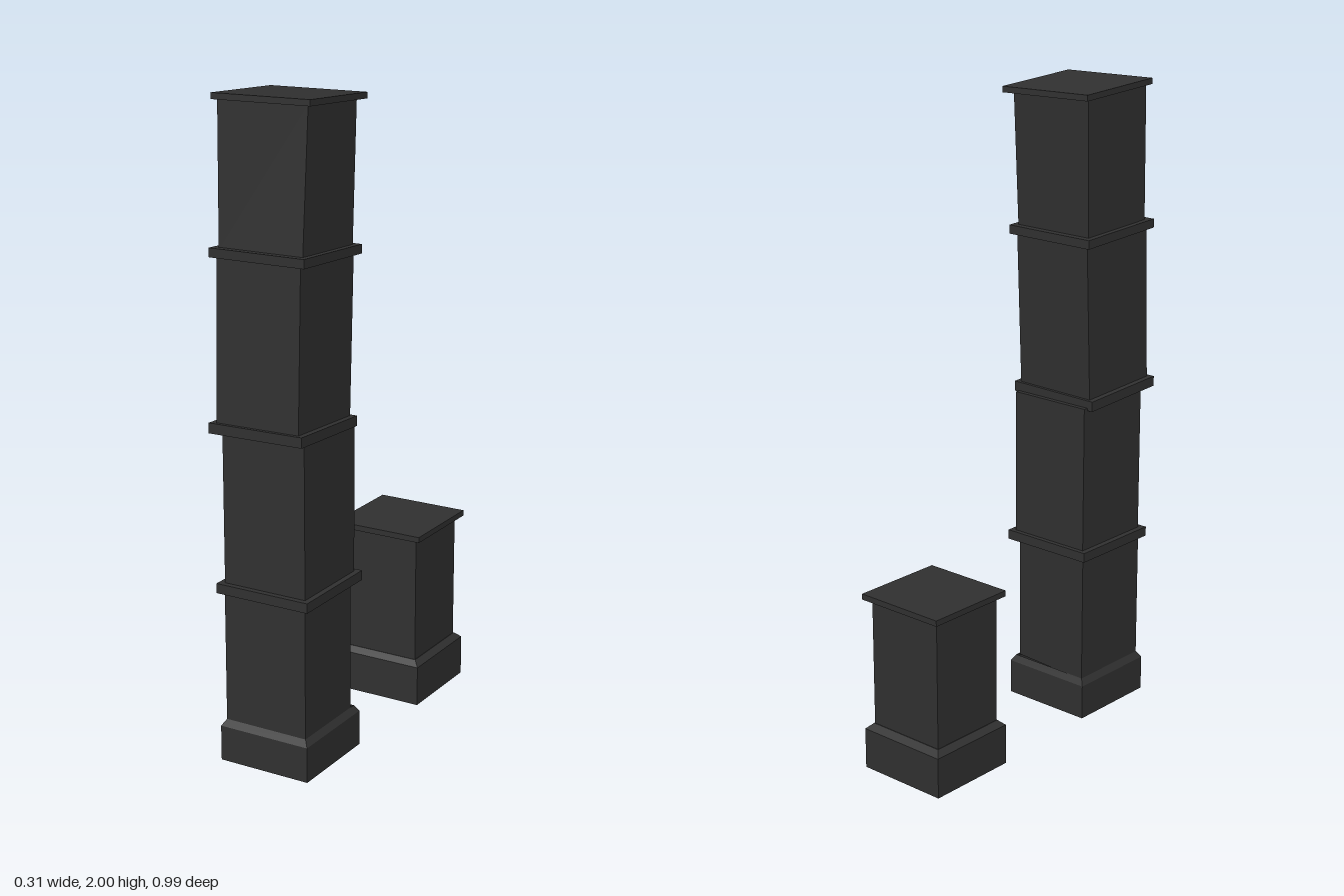
import * as THREE from 'three';

// Four-cornered cross-section: half width, back and front z, optional tilt / roll / skew
function section(y, hx, zb, zf, { tilt = 0, roll = 0, skewB = 0, skewF = 0 } = {}) {
  const mid = (zb + zf) / 2;
  return [[-1, 1], [1, 1], [1, -1], [-1, -1]].map(([sx, sz]) => {
    const x = sx * hx;
    const z = sz > 0 ? zf + skewF * x : zb + skewB * x;
    return new THREE.Vector3(x, y + tilt * (z - mid) + roll * x, z);
  });
}

// Flat-faced solid lofted through a list of cross-sections
function loft(sections, capBottom = true, capTop = true) {
  const pos = [];
  const quad = (a, b, c, d) => [a, b, c, a, c, d].forEach((v) => pos.push(v.x, v.y, v.z));
  for (let i = 0; i < sections.length - 1; i++) {
    const lo = sections[i], hi = sections[i + 1];
    for (let k = 0; k < 4; k++) {
      const n = (k + 1) % 4;
      quad(lo[k], lo[n], hi[n], hi[k]);
    }
  }
  if (capBottom) quad(...[...sections[0]].reverse());
  if (capTop) quad(...sections[sections.length - 1]);
  const geo = new THREE.BufferGeometry();
  geo.setAttribute('position', new THREE.Float32BufferAttribute(pos, 3));
  geo.computeVertexNormals();
  return geo;
}

export function createModel() {
  const model = new THREE.Group();
  model.name = 'chimneyStacks';
  const brick = new THREE.MeshStandardMaterial({ color: 0x303030, side: THREE.DoubleSide });
  brick.name = 'charcoal';

  const add = (group, name, sections, capBottom, capTop) => {
    const mesh = new THREE.Mesh(loft(sections, capBottom, capTop), brick);
    mesh.name = name;
    group.add(mesh);
  };

  // Tall leaning stack
  const tall = new THREE.Group();
  tall.name = 'tallStack';
  model.add(tall);

  // Hollow plinth with a sloped shoulder, open underneath
  add(tall, 'tallBase', [
    section(0.015, 0.15, 0.165, 0.465),
    section(0.125, 0.15, 0.165, 0.465),
    section(0.145, 0.137, 0.177, 0.452),
  ], false, false);

  // Two upright tiers, the first with a skewed back wall
  add(tall, 'lowerShaft', [
    section(0.14, 0.137, 0.186, 0.452, { skewB: 0.07 }),
    section(0.55, 0.137, 0.186, 0.452, { skewB: 0.07 }),
  ], false, false);
  add(tall, 'secondShaft', [
    section(0.57, 0.137, 0.175, 0.45),
    section(1.035, 0.137, 0.175, 0.45),
  ]);

  // Two tiers that lean back, the top one twisting as it rises
  const lean = { tilt: 0.045, roll: 0.015 };
  add(tall, 'thirdShaft', [
    section(1.055, 0.137, 0.2, 0.48, lean),
    section(1.545, 0.137, 0.18, 0.463, lean),
  ]);
  add(tall, 'topShaft', [
    section(1.56, 0.137, 0.186, 0.452, { tilt: 0.045 }),
    section(1.98, 0.137, 0.171, 0.433, { tilt: 0.05, skewF: -0.1, skewB: -0.05 }),
  ]);

  // Moulding bands between the tiers
  const bands = [
    ['lowerBand', 0.547, 0.577, 0.16, 0.468, {}],
    ['middleBand', 1.036, 1.067, 0.19, 0.492, lean],
    ['upperBand', 1.54, 1.567, 0.165, 0.475, { tilt: 0.045, roll: 0.005 }],
  ];
  for (const [name, y0, y1, zb, zf, opts] of bands) {
    add(tall, name, [section(y0, 0.155, zb, zf, opts), section(y1, 0.155, zb, zf, opts)]);
  }

  // Twisted cap slab
  const twist = { tilt: 0.05, skewB: -0.1, skewF: -0.1 };
  add(tall, 'tallCap', [
    section(1.974, 0.15, 0.143, 0.445, twist),
    section(1.992, 0.15, 0.143, 0.445, twist),
  ]);

  // Short upright stack
  const short = new THREE.Group();
  short.name = 'shortStack';
  model.add(short);
  add(short, 'shortBase', [
    section(0, 0.15, -0.495, -0.197),
    section(0.128, 0.15, -0.495, -0.197),
    section(0.145, 0.132, -0.475, -0.215),
  ]);
  add(short, 'shortShaft', [
    section(0.14, 0.13, -0.473, -0.216),
    section(0.552, 0.13, -0.473, -0.216),
  ]);
  add(short, 'shortCap', [
    section(0.548, 0.15, -0.495, -0.197),
    section(0.566, 0.15, -0.495, -0.197),
  ]);

  return model;
}
